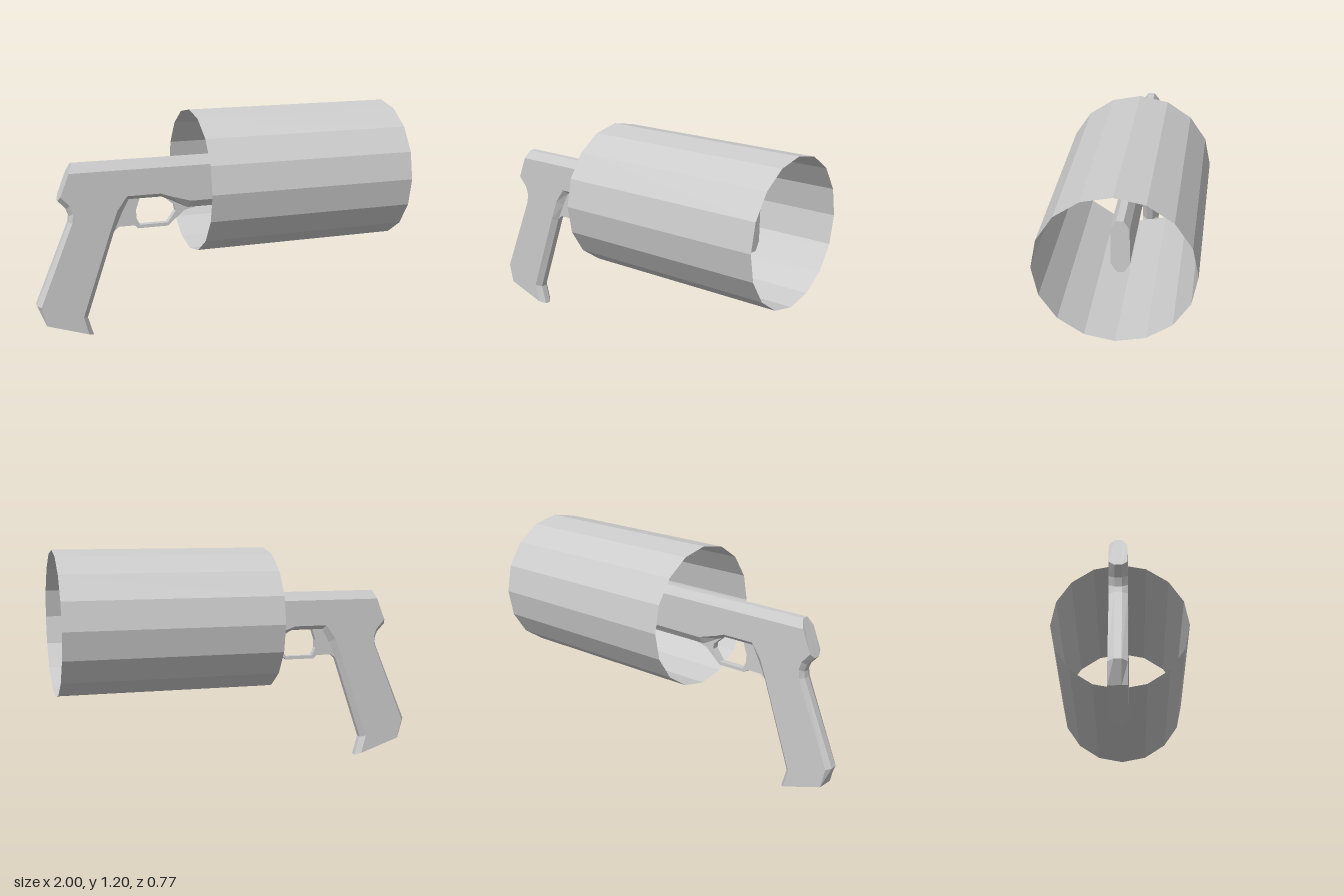
import * as THREE from 'three';

const material = new THREE.MeshStandardMaterial({
  color: 0xcccccc, flatShading: true, side: THREE.DoubleSide,
});

// Frame outline, counter-clockwise: [side face x, y, centre ridge x, y]
const OUTLINE = [
  [0.77, 0.91, 0.77, 0.955],      // front top
  [-0.81, 0.91, -0.79, 0.955],    // rear top
  [-0.857, 0.79, -0.868, 0.765],  // rear spur
  [-0.81, 0.738, -0.825, 0.72],   // web of the hand
  [-0.795, 0.695, -0.81, 0.68],
  [-0.80, 0.645, -0.815, 0.645],
  [-0.98, 0.2, -1.0, 0.205],      // grip back
  [-0.955, 0.095, -0.955, 0.095], // heel
  [-0.73, 0.02, -0.70, 0.005],    // toe
  [-0.757, 0.12, -0.73, 0.11],
  [-0.602, 0.575, -0.575, 0.57],  // grip front
  [-0.56, 0.69, -0.53, 0.67],
  [-0.505, 0.768, -0.49, 0.745],  // above the trigger opening
  [-0.32, 0.768, -0.31, 0.745],
  [-0.27, 0.75, -0.265, 0.725],
  [-0.15, 0.715, -0.165, 0.675],
  [0.77, 0.72, 0.77, 0.675],      // front bottom
];

// Solid with chamfered rims: four rings joined by strips, capped both sides
function chamferedSolid(outline, halfWidth, halfRidge) {
  const side = outline.map(([x, y]) => new THREE.Vector2(x, y));
  const ridge = outline.map(([, , x, y]) => new THREE.Vector2(x, y));
  const rings = [[side, halfWidth], [ridge, halfRidge], [ridge, -halfRidge], [side, -halfWidth]]
    .map(([pts, z]) => pts.map((p) => [p.x, p.y, z]));
  const pos = [];
  const tri = (a, b, c) => pos.push(...a, ...b, ...c);
  const n = outline.length;
  for (let r = 0; r < 3; r++) {
    const f = rings[r], b = rings[r + 1];
    for (let i = 0; i < n; i++) {
      const j = (i + 1) % n;
      tri(f[i], b[i], b[j]);
      tri(f[i], b[j], f[j]);
    }
  }
  for (const [a, b, c] of THREE.ShapeUtils.triangulateShape(side, [])) {
    tri(rings[0][a], rings[0][b], rings[0][c]);
    tri(rings[3][a], rings[3][c], rings[3][b]);
  }
  const geometry = new THREE.BufferGeometry();
  geometry.setAttribute('position', new THREE.Float32BufferAttribute(pos, 3));
  geometry.computeVertexNormals();
  return geometry;
}

const points = (list) => list.map(([x, y]) => new THREE.Vector2(x, y));

export function createModel() {
  const model = new THREE.Group();
  const add = (name, geometry) => {
    const mesh = new THREE.Mesh(geometry, material);
    mesh.name = name;
    model.add(mesh);
    return mesh;
  };

  // Grip and receiver in one piece, running on inside the barrel
  add('frame', chamferedSolid(OUTLINE, 0.046, 0.018));

  // Thin plate with the finger opening
  const guard = new THREE.Shape(points([
    [-0.62, 0.62], [-0.58, 0.57], [-0.545, 0.598], [-0.46, 0.598], [-0.44, 0.58],
    [-0.275, 0.58], [-0.18, 0.66], [-0.10, 0.678], [-0.10, 0.76], [-0.5, 0.79], [-0.6, 0.7],
  ]));
  guard.holes.push(new THREE.Path(points([
    [-0.45, 0.685], [-0.43, 0.745], [-0.30, 0.745], [-0.235, 0.69],
    [-0.23, 0.66], [-0.275, 0.598], [-0.43, 0.598], [-0.45, 0.64],
  ])));
  add('triggerGuard', new THREE.ExtrudeGeometry(guard, { depth: 0.036, bevelEnabled: false })
    .translate(0, 0, -0.018));

  // Wide open barrel
  add('barrel', new THREE.CylinderGeometry(0.383, 0.383, 1.145, 16, 1, true)
    .rotateZ(Math.PI / 2).translate(0.4275, 0.82, 0));

  return model;
}
